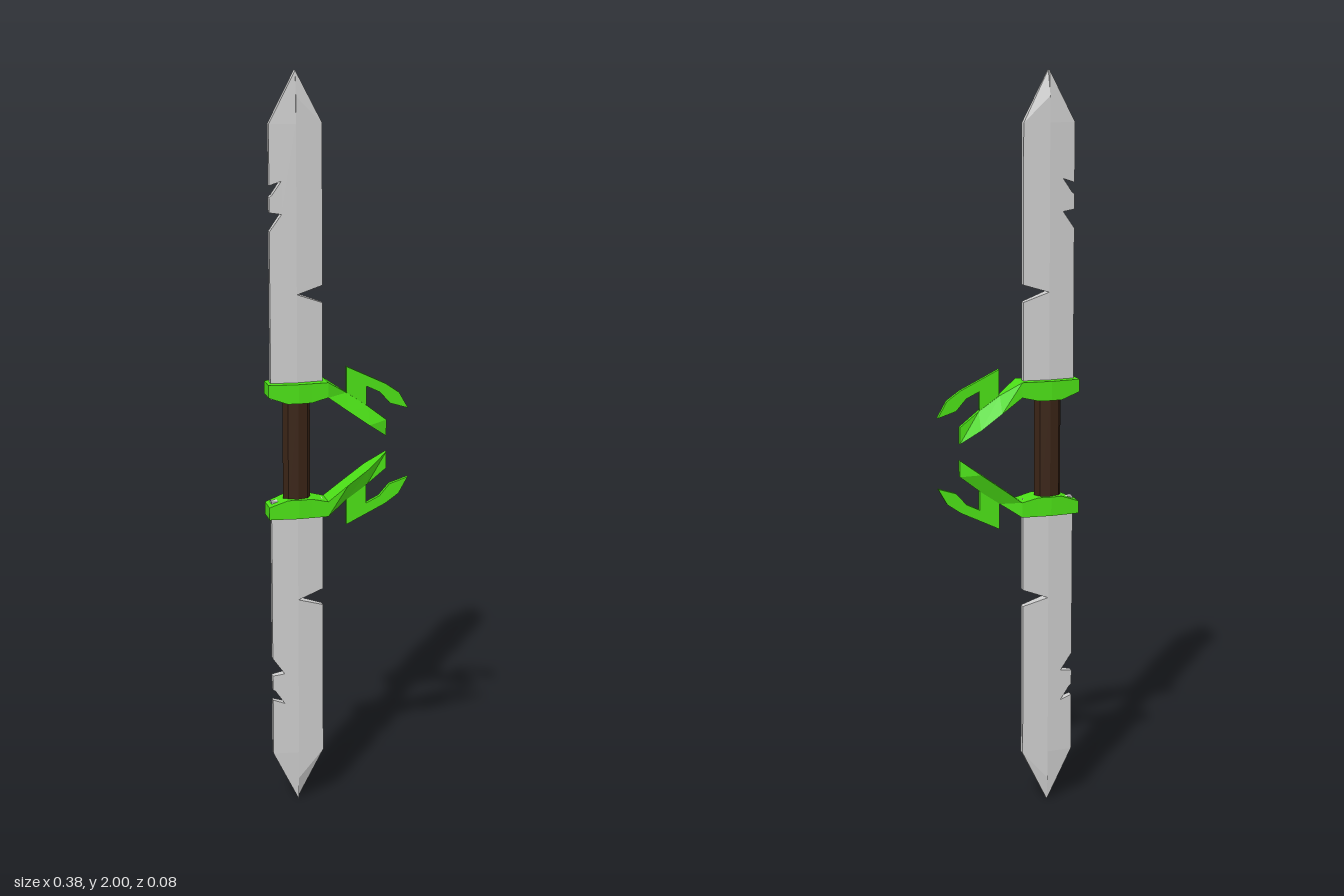
import * as THREE from 'three';

const mat = (color) => new THREE.MeshStandardMaterial({ color, flatShading: true });
const STEEL = mat(0xcccccc), GREEN = mat(0x4bdf16), BROWN = mat(0x3a2416);
const CX = -0.115;     // blade centre line
const MID = 1.0035;    // height of the grip's middle

function mesh(name, geometry, material) {
  const m = new THREE.Mesh(geometry, material);
  m.name = name;
  return m;
}

// Extrudes an outline; depth(x, y, side) gives the z of each face
function slab(name, points, material, depth) {
  const shape = new THREE.Shape(points.map(([x, y]) => new THREE.Vector2(x, y)));
  const g = new THREE.ExtrudeGeometry(shape, { depth: 2, bevelEnabled: false });
  const p = g.attributes.position;
  for (let i = 0; i < p.count; i++) p.setZ(i, depth(p.getX(i), p.getY(i), p.getZ(i) > 1 ? 1 : -1));
  g.computeVertexNormals();
  return mesh(name, g, material);
}

// Skins four-cornered sections [x, top, bottom, halfDepthTop, halfDepthBottom]
function loft(name, sections, material) {
  const rings = sections.map(([x, t, b, zt, zb]) => [[x, t, zt], [x, t, -zt], [x, b, -zb], [x, b, zb]]);
  const pos = [];
  const quad = (a, b, c, d) => [a, b, c, a, c, d].forEach((v) => pos.push(...v));
  for (let i = 0; i < rings.length - 1; i++) {
    for (let k = 0; k < 4; k++) {
      const n = (k + 1) % 4;
      quad(rings[i][k], rings[i + 1][k], rings[i + 1][n], rings[i][n]);
    }
  }
  const first = rings[0], last = rings[rings.length - 1];
  quad(...first);
  quad(last[3], last[2], last[1], last[0]);
  const g = new THREE.BufferGeometry();
  g.setAttribute('position', new THREE.Float32BufferAttribute(pos, 3));
  g.computeVertexNormals();
  return mesh(name, g, material);
}

// Blade, guard and hook on one side of the grip, heights measured from its middle
function createHalf(name, tip) {
  const half = new THREE.Group();
  half.name = name;
  const L = CX - 0.07, R = CX + 0.07, shoulder = 0.862, base = 0.14;
  const ridge = (x) => 0.016 - 0.1 * Math.abs(x - CX);
  const body = (x, y, s) => s * ridge(x);
  const taper = (x, y, s) => s * (y > tip - 0.01 ? 0.009 : ridge(x));
  const chipped = (x, y, s) => (y > tip - 0.01 ? (s > 0 ? 0.009 : 0.003) : s * ridge(x));

  // Blade body in two halves meeting at the ridge, with chipped edges
  half.add(slab('bladeChippedEdge', [
    [CX, base], [CX, shoulder], [L, shoulder], [L, 0.705], [-0.153, 0.716], [-0.178, 0.68],
    [L, 0.675], [L, 0.635], [-0.153, 0.63], [L, 0.585], [L, base],
  ], STEEL, body));
  half.add(slab('bladeNotchedEdge', [
    [CX, base], [R, base], [R, 0.394], [CX + 0.001, 0.419], [R, 0.44], [R, shoulder], [CX, shoulder],
  ], STEEL, body));

  // Pointed tip, cut away on one face
  const T = [CX, tip], C = [CX, shoulder], M = [CX, tip - 0.065], S = [R, shoulder];
  half.add(slab('tipLeft', [C, T, [L, shoulder]], STEEL, taper));
  half.add(slab('tipRight', [C, S, M], STEEL, taper));
  half.add(slab('tipCut', [S, T, M], STEEL, chipped));

  // Collar running into a tapering arm
  half.add(loft('guard', [
    [-0.195, 0.184, 0.15, 0.03, 0.03],
    [-0.145, 0.184, 0.132, 0.035, 0.035],
    [CX, 0.184, 0.132, 0.038, 0.038],
    [-0.08, 0.184, 0.132, 0.0355, 0.0355],
    [-0.035, 0.184, 0.143, 0.033, 0.033],
    [0.02, 0.148, 0.102, 0.008, 0.031],
    [0.078, 0.108, 0.06, 0.007, 0.03],
    [0.13, 0.067, 0.022, 0.006, 0.006],
  ], GREEN));

  // Thin hook standing on the arm
  half.add(slab('hook', [
    [0.021, 0.12], [0.075, 0.09], [0.075, 0.162], [0.112, 0.144], [0.14, 0.112],
    [0.19, 0.096], [0.165, 0.14], [0.128, 0.166], [0.021, 0.218],
  ], GREEN, (x, y, s) => s * 0.006));
  return half;
}

export function createModel() {
  const model = new THREE.Group();
  model.name = 'doubleBladedSword';

  const upper = createHalf('upperHalf', 2 - MID);
  upper.position.y = MID;
  const lower = createHalf('lowerHalf', MID);
  lower.position.y = MID;
  lower.rotation.x = Math.PI;

  // Faceted grip
  const grip = mesh('grip', new THREE.CylinderGeometry(0.037, 0.037, 0.3, 8), BROWN);
  grip.position.set(CX, MID, 0);
  grip.scale.z = 0.75;

  model.add(upper, lower, grip);
  return model;
}
